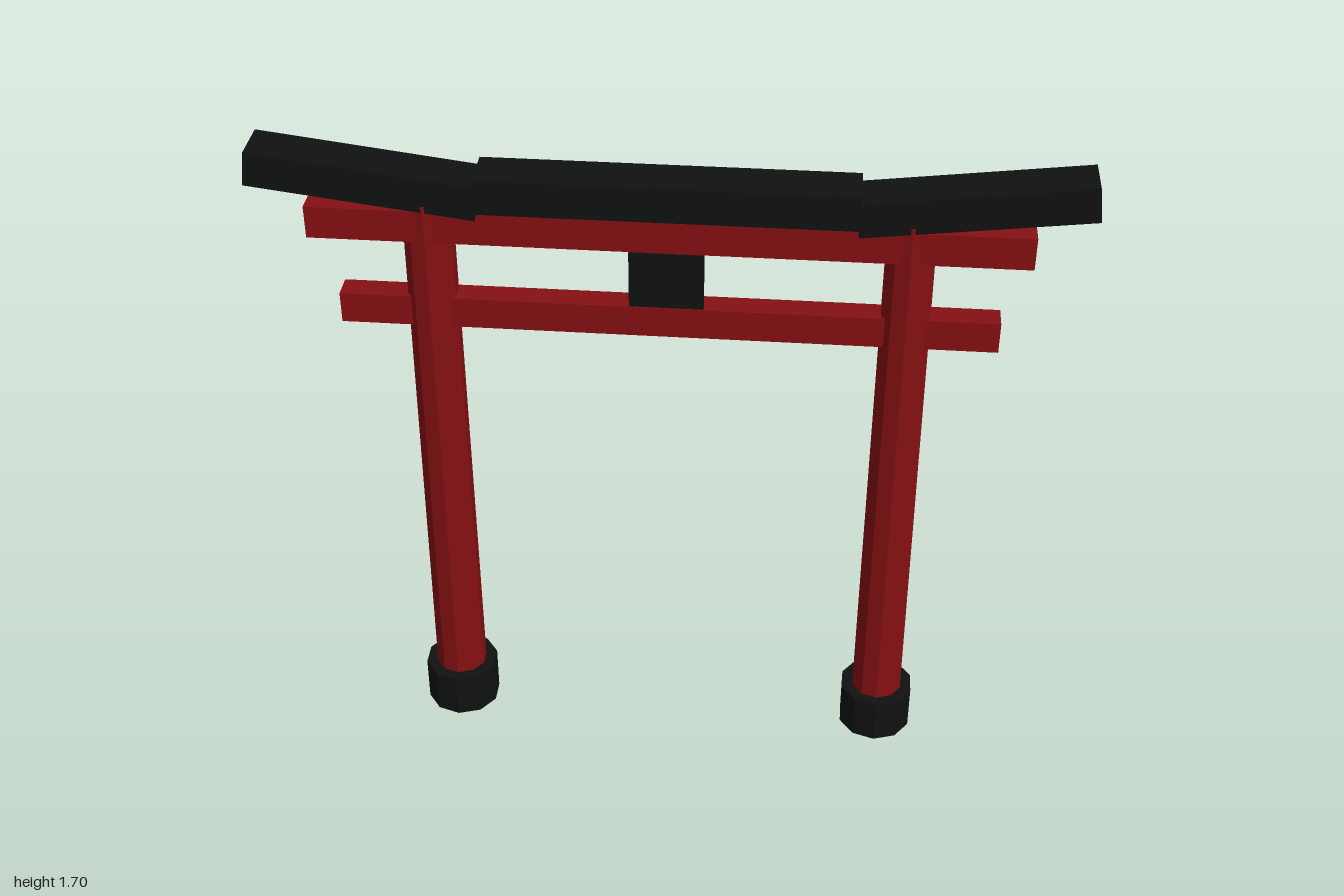
import * as THREE from 'three';

export function createModel() {
  const red = new THREE.MeshStandardMaterial({ color: 0x851012, flatShading: true });
  red.name = 'red lacquer';
  const black = new THREE.MeshStandardMaterial({ color: 0x101111, flatShading: true });
  black.name = 'black lacquer';

  const group = new THREE.Group();
  group.name = 'gate';

  const add = (name, geometry, material, x, y, z = 0) => {
    const mesh = new THREE.Mesh(geometry, material);
    mesh.name = name;
    mesh.position.set(x, y, z);
    group.add(mesh);
    return mesh;
  };
  // Box given by its width, depth and vertical span
  const beam = (name, material, width, y0, y1, depth, z = 0) =>
    add(name, new THREE.BoxGeometry(width, y1 - y0, depth), material, 0, (y0 + y1) / 2, z);

  for (const [side, s] of [['left', 1], ['right', -1]]) {
    // Ten-sided tapered pillar standing in a black footing
    add(side + 'Pillar', new THREE.CylinderGeometry(0.061, 0.068, 1.53, 10), red, s * 0.575, 0.815);
    add(side + 'Footing', new THREE.CylinderGeometry(0.098, 0.098, 0.125, 10), black, s * 0.575, 0.0625);
    // Upswept end of the top lintel
    const wing = add(side + 'LintelEnd', new THREE.BoxGeometry(0.554, 0.087, 0.119), black, s * 0.72, 1.6255);
    wing.rotation.z = s * 0.125;
  }

  // Horizontal beams
  beam('topLintel', black, 0.906, 1.566, 1.655, 0.121);
  beam('upperBeam', red, 1.724, 1.481, 1.564, 0.11);
  beam('lowerBeam', red, 1.604, 1.235, 1.315, 0.066);

  // Centre strut with the plaque on its front
  beam('centreStrut', red, 0.064, 1.31, 1.485, 0.056);
  beam('plaque', black, 0.18, 1.325, 1.473, 0.02, 0.036);

  return group;
}
